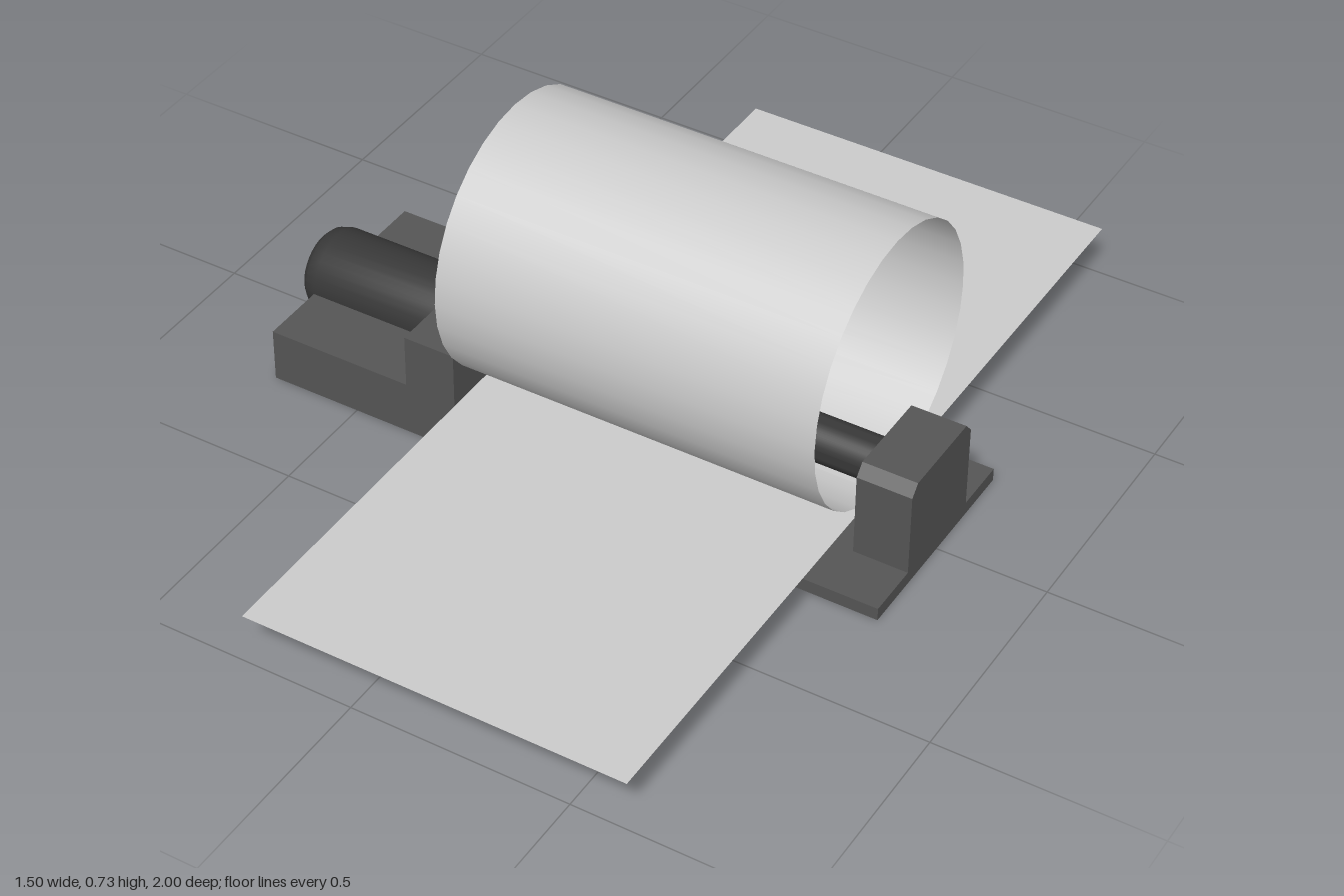
import * as THREE from 'three';
import { toCreasedNormals } from 'three/addons/utils/BufferGeometryUtils.js';

export function createModel() {
  const model = new THREE.Group();
  const mat = (color, extra = {}) => new THREE.MeshStandardMaterial({ color, ...extra });
  const housing = mat(0x555555);
  const motorDark = mat(0x383838);
  const steel = mat(0xeeeeee);
  const sheetMat = mat(0xcccccc, { side: THREE.DoubleSide });

  const add = (name, geometry, material, x = 0, y = 0, z = 0) => {
    const mesh = new THREE.Mesh(geometry, material);
    mesh.name = name;
    mesh.position.set(x, y, z);
    model.add(mesh);
    return mesh;
  };
  // Box given by its x and y limits, centred on z
  const slab = (name, x0, x1, y0, y1, depth) =>
    add(name, new THREE.BoxGeometry(x1 - x0, y1 - y0, depth), housing, (x0 + x1) / 2, (y0 + y1) / 2);
  // Turned part along x, from [x, radius] pairs
  const turned = (name, profile, material, y) => {
    const points = profile.map(([x, r]) => new THREE.Vector2(r, x));
    const geometry = toCreasedNormals(new THREE.LatheGeometry(points, 32), 0.5);
    geometry.rotateZ(-Math.PI / 2);
    return add(name, geometry, material, 0, y);
  };

  // Frame
  slab('basePlate', -0.25, 0.75, 0, 0.03, 0.5);
  slab('motorBed', -0.71, -0.37, 0, 0.125, 0.5);
  slab('driveBlock', -0.37, -0.25, 0, 0.25, 0.5);

  // End bearing post with chamfered top edges
  const post = new THREE.Shape();
  post.moveTo(-0.125, 0.03);
  post.lineTo(0.125, 0.03);
  post.lineTo(0.125, 0.225);
  post.lineTo(0.103, 0.25);
  post.lineTo(-0.103, 0.25);
  post.lineTo(-0.125, 0.225);
  post.closePath();
  const postGeometry = new THREE.ExtrudeGeometry(post, { depth: 0.125, bevelEnabled: false });
  postGeometry.rotateY(Math.PI / 2);
  add('bearingPost', postGeometry, housing, 0.625);

  // Motor with a tapered end cap and a small shaft stub
  turned('motor', [[-0.75, 0], [-0.75, 0.077], [-0.737, 0.09], [-0.71, 0.098], [-0.37, 0.098]], motorDark, 0.125);
  turned('shaftStub', [[-0.755, 0], [-0.755, 0.01], [-0.75, 0.01]], motorDark, 0.125);

  // Pinch rollers above and below the sheet
  const roller = (name, r, y, material) =>
    turned(name, [[-0.25, 0], [-0.25, r], [0.625, r], [0.625, 0]], material, y);
  roller('driveRoller', 0.05, 0.172, motorDark);
  roller('pressureRoller', 0.037, 0.08, steel);

  // Thin sheet, flat on both sides
  const flat = new THREE.PlaneGeometry(0.875, 2);
  flat.rotateX(-Math.PI / 2);
  add('sheet', flat, sheetMat, 0.1875, 0.119);

  // Loop standing on the sheet
  const loop = new THREE.CylinderGeometry(0.308, 0.308, 0.875, 32, 1, true);
  loop.rotateZ(Math.PI / 2);
  add('sheetLoop', loop, sheetMat, 0.1875, 0.424);

  return model;
}
